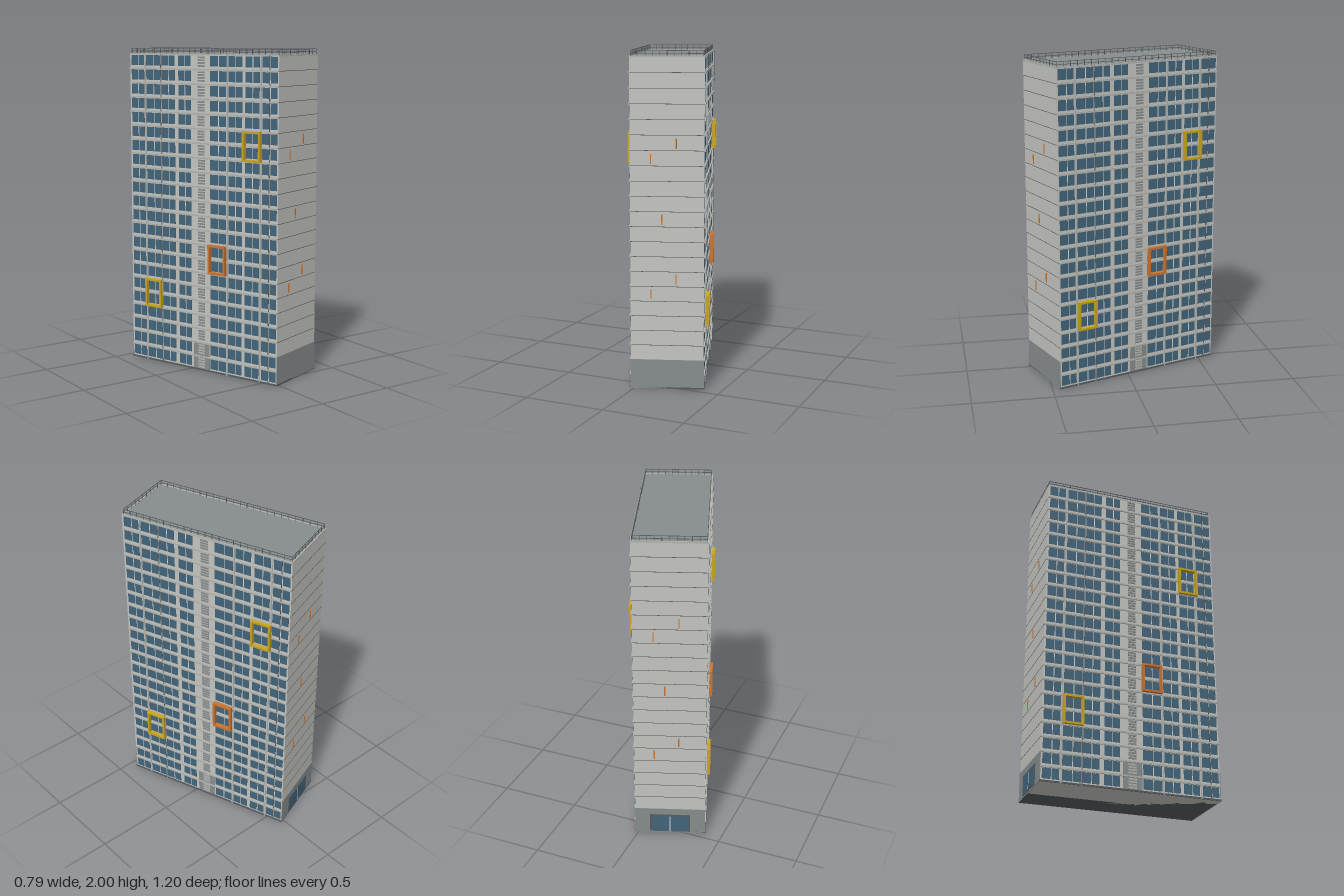
import * as THREE from 'three';
import { mergeGeometries } from 'three/addons/utils/BufferGeometryUtils.js';

const mat = (name, color) => Object.assign(new THREE.MeshStandardMaterial({ color }), { name });

const FLOORS = 22, H = 0.0893, TOP = FLOORS * H; // storeys
const HW = 0.216, HL = 0.557;                    // half width and length of the core

// box given by centre and size
function box(x, y, z, w, h, d) {
  return new THREE.BoxGeometry(w, h, d).translate(x, y, z);
}

export function createModel() {
  const M = {
    wall: mat('light concrete', 0xc4c4c0),
    grey: mat('plinth grey', 0x868c8c),
    glass: mat('blue glass', 0x42647a),
    dark: mat('dark joint', 0x565b5d),
    ledge: mat('pale ledge', 0xb2b2ad),
    white: mat('window frame', 0xd6d8d6),
    yellow: mat('yellow frame', 0xc9a51f),
    orange: mat('orange frame', 0xcb7430),
  };
  const model = new THREE.Group();
  model.name = 'towerBlock';
  const building = new THREE.Group();
  building.name = 'building';
  building.rotation.y = 0.34;
  model.add(building);

  const part = (parent, name, material, boxes) => {
    const mesh = new THREE.Mesh(mergeGeometries(boxes), material);
    mesh.name = name;
    parent.add(mesh);
  };

  // core, roof and base
  part(building, 'core', M.wall, [box(0, TOP / 2, 0, 2 * HW, TOP, 2 * HL)]);
  part(building, 'roof', M.grey, [box(0, TOP, 0, 2 * HW, 0.004, 2 * HL)]);
  part(building, 'baseStrip', M.dark, [box(0, 0.005, 0, 2 * HW + 0.01, 0.01, 2 * HL + 0.005)]);

  // parapet rim and railing around the roof
  const rim = [], rail = [];
  for (const s of [-1, 1]) {
    rim.push(box(s * (HW - 0.002), TOP, 0, 0.008, 0.01, 2 * HL));
    rim.push(box(0, TOP, s * (HL - 0.003), 2 * HW, 0.01, 0.008));
    for (const y of [1.982, 1.9985]) {
      rail.push(box(s * (HW - 0.008), y, 0, 0.003, 0.003, 2 * HL - 0.016));
      rail.push(box(0, y, s * (HL - 0.008), 2 * HW - 0.016, 0.003, 0.003));
    }
    for (let i = 0; i <= 24; i++)
      rail.push(box(s * (HW - 0.008), 1.982, (i / 12 - 1) * (HL - 0.008), 0.003, 0.034, 0.003));
    for (let i = 1; i < 10; i++)
      rail.push(box((i / 5 - 1) * (HW - 0.008), 1.982, s * (HL - 0.008), 0.003, 0.034, 0.003));
  }
  part(building, 'parapet', M.ledge, rim);
  part(building, 'railing', M.dark, rail);

  // window columns: start, end along the long side
  const columns = [
    [-0.545, -0.444], [-0.427, -0.312], [-0.306, -0.202], [-0.174, -0.079],
    [0.067, 0.185], [0.202, 0.301], [0.323, 0.424], [0.444, 0.548],
  ];

  // long side, built facing +z and turned into place
  function longSide(angle) {
    const g = new THREE.Group();
    g.name = 'longSide';
    g.rotation.y = angle;
    const glass = [], mullions = [], ledges = [], vents = [], lowVents = [];
    for (let k = 0; k < FLOORS; k++) {
      const y = k * H + 0.0505;
      for (const [a, b] of columns) {
        const c = (a + b) / 2;
        glass.push(box(c, y, HW + 0.0005, b - a, 0.063, 0.002));
        mullions.push(box(c + 0.004, y, HW + 0.0015, 0.004, 0.063, 0.002));
      }
      if (k) ledges.push(box(0, k * H, HW + 0.003, 2 * HL, 0.01, 0.008));
      for (let i = 0; i < 4; i++)
        (k < 2 ? lowVents : vents).push(box(0, k * H + 0.022 + i * 0.017, HW + 0.002, 0.05, 0.011, 0.004));
    }
    part(g, 'windows', M.glass, glass);
    part(g, 'mullions', M.white, mullions);
    part(g, 'floorLedges', M.ledge, ledges);
    part(g, 'stairVents', M.grey, vents);
    part(g, 'entrancePanel', M.grey, [box(0, 0.09, HW + 0.0005, 0.12, 0.18, 0.003)]);
    part(g, 'entranceVents', M.ledge, lowVents);

    // vertical dividers between the loggias
    part(g, 'dividers', M.ledge, [-0.435, -0.309, 0.194, 0.434].map(
      u => box(u, TOP / 2, HW + 0.002, 0.008, TOP, 0.007)));
    part(g, 'darkDividers', M.dark, [-0.309, 0.496].map(
      u => box(u, TOP / 2, HW + 0.003, 0.004, TOP, 0.007)));

    // projecting two-storey frames
    const frame = (name, m, u, y) => {
      const w = 0.127, h = 0.182, t = 0.013, d = 0.026, z = HW + d / 2;
      part(g, name, m, [-1, 1].flatMap(s => [
        box(u + s * (w - t) / 2, y, z, t, h, d),
        box(u, y + s * (h - t) / 2, z, w, t, d),
      ]));
    };
    frame('upperFrame', M.yellow, 0.379, 1.43);
    frame('middleFrame', M.orange, 0.125, 0.72);
    frame('lowerFrame', M.yellow, -0.37, 0.45);
    building.add(g);
  }
  longSide(Math.PI / 2);
  longSide(-Math.PI / 2);

  // short end wall with panel joints and narrow orange slits
  function endWall(angle, hasDoor) {
    const g = new THREE.Group();
    g.name = 'endWall';
    g.rotation.y = angle;
    part(g, 'plinth', M.grey, [box(0, H, HL, 2 * HW + 0.004, 2 * H, 0.005)]);
    const joints = [];
    for (let k = 3; k < FLOORS; k++) joints.push(box(0, k * H, HL, 2 * HW, 0.003, 0.002));
    part(g, 'panelJoints', M.dark, joints);
    const slits = [[-0.095, 1.38], [0.053, 1.47], [-0.03, 1.025], [-0.095, 0.58], [0.053, 0.67]];
    part(g, 'slits', M.orange, slits.map(([u, y]) => box(u, y, HL + 0.002, 0.007, 0.06, 0.005)));
    if (hasDoor) {
      part(g, 'doorSurround', M.dark, [box(0, 0.073, HL + 0.002, 0.25, 0.126, 0.006)]);
      part(g, 'doorGlass', M.glass, [-1, 1].map(s => box(s * 0.059, 0.07, HL + 0.004, 0.112, 0.11, 0.006)));
      part(g, 'doorPost', M.white, [box(0, 0.07, HL + 0.005, 0.005, 0.11, 0.006)]);
    }
    building.add(g);
  }
  endWall(0, false);
  endWall(Math.PI, true);

  return model;
}
